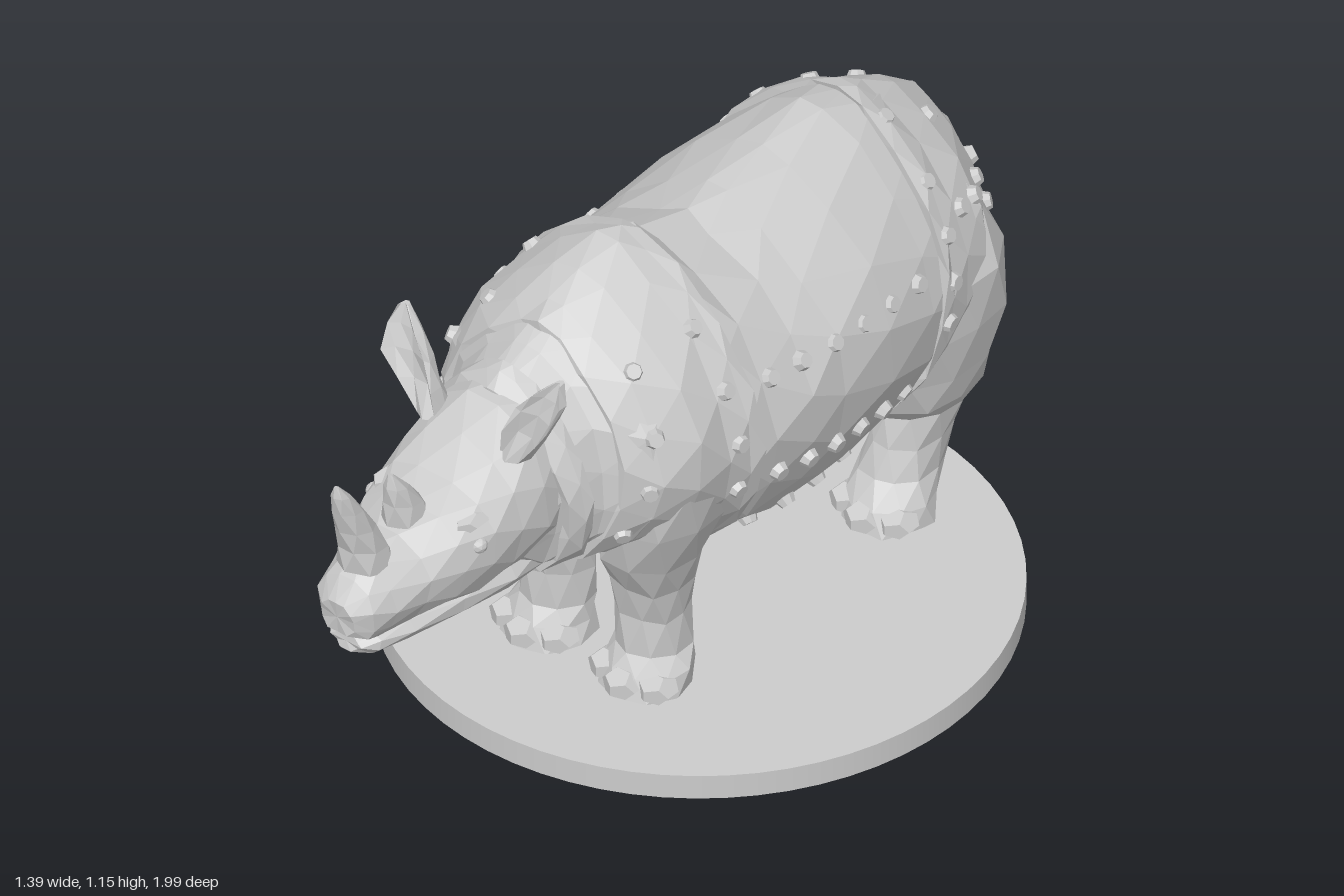
import * as THREE from 'three';

const V = (x, y, z) => new THREE.Vector3(x, y, z);
const { lerp, clamp } = THREE.MathUtils;
const material = new THREE.MeshStandardMaterial({ color: 0xcccccc, flatShading: true });

// Body cross-sections: z, top, bottom, half width, height of widest point
const BODY = [
  [-0.985, 0.82, 0.64, 0.06, 0.74], [-0.95, 0.905, 0.5, 0.14, 0.72], [-0.9, 0.97, 0.4, 0.21, 0.72],
  [-0.8, 1.04, 0.37, 0.295, 0.72], [-0.7, 1.09, 0.35, 0.322, 0.72], [-0.58, 1.118, 0.325, 0.338, 0.72],
  [-0.42, 1.1, 0.298, 0.358, 0.7], [-0.26, 1.08, 0.283, 0.37, 0.7], [-0.16, 1.065, 0.29, 0.37, 0.7],
  [-0.04, 1.085, 0.32, 0.358, 0.7], [0.02, 1.135, 0.355, 0.342, 0.71], [0.1, 1.148, 0.4, 0.335, 0.72],
  [0.19, 1.115, 0.44, 0.33, 0.74], [0.28, 1.065, 0.46, 0.295, 0.74], [0.36, 1.02, 0.465, 0.22, 0.73],
  [0.46, 0.975, 0.48, 0.178, 0.73], [0.54, 0.9, 0.53, 0.15, 0.72],
];

function sectionAt(z) {
  let i = 0;
  while (i < BODY.length - 2 && z > BODY[i + 1][0]) i++;
  const t = (z - BODY[i][0]) / (BODY[i + 1][0] - BODY[i][0]);
  return BODY[i].map((v, k) => lerp(v, BODY[i + 1][k], t));
}

// Point on an oval section, angle measured from the top; a peak above 1 narrows the upper half
function ovalPoint([z, top, bottom, w, mid], a, grow = 0, peak = 1) {
  const c = Math.cos(a), s = Math.sin(a), half = (c > 0 ? top - mid : mid - bottom) + grow;
  const across = c > 0 ? Math.sign(s) * Math.abs(s) ** peak : s;
  return V((w + grow) * across, mid + half * c, z);
}
const bodyPoint = (z, a, grow = 0) => ovalPoint(sectionAt(z), a, grow, 1.5);

// Each ring is turned half a step further, giving a faceted triangle net
const ring = (n, k, point) =>
  Array.from({ length: n }, (_, i) => point(((i + k / 2) / n) * Math.PI * 2));

// Small left-right symmetric irregularity for a hand-carved look
function roughen(p, amount) {
  const h = (s) => {
    const v = Math.sin(Math.abs(p.x) * 127.1 * s + p.y * 311.7 + p.z * 74.7 * s) * 4375.85;
    return (v - Math.floor(v) - 0.5) * 2 * amount;
  };
  const side = Math.abs(p.x) < 0.002 ? 0 : Math.sign(p.x);
  return V(p.x + side * h(1), p.y + h(1.7), p.z + h(2.3));
}

// Skin a list of rings, close both ends and make it face outwards
function loft(name, rings, rough = 0) {
  const pos = [], n = rings[0].length;
  const net = rings.map((r) => r.map((p) => (rough ? roughen(p, rough) : p)));
  const tri = (...ps) => ps.forEach((p) => pos.push(p.x, p.y, p.z));
  for (let k = 0; k < net.length - 1; k++) {
    for (let i = 0; i < n; i++) {
      const j = (i + 1) % n, a = net[k], b = net[k + 1];
      tri(a[i], a[j], b[i]);
      tri(b[i], a[j], b[j]);
    }
  }
  const cap = (r, flip) => {
    const c = r.reduce((s, p) => s.add(p), V(0, 0, 0)).divideScalar(n);
    r.forEach((p, i) => (flip ? tri(c, r[(i + 1) % n], p) : tri(c, p, r[(i + 1) % n])));
  };
  cap(net[0], true);
  cap(net[net.length - 1], false);
  let volume = 0;
  const at = (i) => V(pos[i], pos[i + 1], pos[i + 2]);
  for (let i = 0; i < pos.length; i += 9) volume += at(i).dot(at(i + 3).cross(at(i + 6)));
  if (volume < 0) {
    for (let i = 0; i < pos.length; i += 9)
      for (let c = 0; c < 3; c++) [pos[i + 3 + c], pos[i + 6 + c]] = [pos[i + 6 + c], pos[i + 3 + c]];
  }
  const geo = new THREE.BufferGeometry();
  geo.setAttribute('position', new THREE.Float32BufferAttribute(pos, 3));
  geo.computeVertexNormals();
  return part(name, geo);
}

function part(name, geo) {
  const mesh = new THREE.Mesh(geo, material);
  mesh.name = name;
  return mesh;
}

// Loft of upright ovals given as [z, top, bottom, half width, widest height]
const ovalLoft = (name, rows, n, rough) =>
  loft(name, rows.map((s, k) => ring(n, k, (a) => ovalPoint(s, a))), rough);

// Loft of level ovals given as [y, x, z, x radius, z radius], on either side
const levelLoft = (name, side, rows, n, rough) =>
  loft(name, rows.map(([y, x, z, rx, rz], k) =>
    ring(n, k, (a) => V(side * (x + rx * Math.sin(a)), y, z + rz * Math.cos(a)))), rough);

// Armour plate from rings of [z at the back line, z at the belly, thickness], its rims tucked in
function plate(name, bands) {
  const tucked = ([zTop, zLow]) => [zTop, zLow, -0.025];
  const rows = [tucked(bands[0]), ...bands, tucked(bands[bands.length - 1])];
  return loft(name, rows.map(([zTop, zLow, grow], k) =>
    ring(18, k, (a) => bodyPoint(lerp(zTop, zLow, (1 - Math.cos(a)) / 2), a, grow))), 0.006);
}

// Low stud seated on the hide at a given z and height
function stud(side, z, y, grow) {
  const s = sectionAt(z);
  const half = y > s[4] ? s[1] - s[4] : s[4] - s[2];
  const a = side * Math.acos(clamp((y - s[4]) / half, -1, 1));
  const at = (zz, aa) => bodyPoint(zz, aa, grow);
  const p = at(z, a);
  const normal = at(z, a + 0.02).sub(at(z, a - 0.02)).cross(at(z + 0.02, a).sub(at(z - 0.02, a))).normalize();
  if (normal.dot(V(p.x, p.y - s[4], 0)) < 0) normal.negate();
  const mesh = part('stud', new THREE.CylinderGeometry(0.017, 0.025, 0.022, 8));
  mesh.position.copy(p);
  mesh.quaternion.setFromUnitVectors(V(0, 1, 0), normal);
  return mesh;
}

// Curved horn from [z, y, radius along z, radius along x] stations
const horn = (name, rows) =>
  loft(name, rows.map(([z, y, rz, rx], k) =>
    ring(7, k, (a) => V(rx * Math.sin(a), y + rz * 0.25 * Math.cos(a), z + rz * Math.cos(a)))));

export function createModel() {
  const model = new THREE.Group();
  model.name = 'rhinoceros';

  const base = part('base', new THREE.CylinderGeometry(0.695, 0.695, 0.06, 64));
  base.material = new THREE.MeshStandardMaterial({ color: 0xcccccc });
  base.position.set(0, 0.03, -0.205);
  model.add(base);

  // Trunk and armour plates, thicker along their open edges
  model.add(loft('trunk', BODY.map((s, k) => ring(18, k, (a) => bodyPoint(s[0], a))), 0.009));
  model.add(plate('shoulderPlate', [
    [0.02, -0.01, 0.016], [0.05, 0.02, 0.016], [0.1, 0.09, 0.007], [0.19, 0.18, 0.008], [0.27, 0.28, 0.01], [0.32, 0.36, 0.012],
  ]));
  model.add(plate('rumpPlate', [
    [-0.965, -0.95, 0.01], [-0.91, -0.89, 0.01], [-0.82, -0.78, 0.01], [-0.74, -0.67, 0.008],
    [-0.69, -0.6, 0.012], [-0.66, -0.57, 0.012],
  ]));
  model.add(plate('neckFold', [[0.42, 0.37, 0.014], [0.45, 0.4, 0.018], [0.48, 0.43, 0.014]]));

  // Head
  model.add(ovalLoft('head', [
    [0.42, 0.97, 0.53, 0.165, 0.74], [0.5, 0.96, 0.53, 0.18, 0.75], [0.58, 0.9, 0.535, 0.18, 0.74],
    [0.66, 0.855, 0.545, 0.168, 0.73], [0.74, 0.82, 0.555, 0.145, 0.7], [0.82, 0.79, 0.56, 0.12, 0.68],
    [0.9, 0.78, 0.567, 0.098, 0.66], [0.955, 0.745, 0.58, 0.08, 0.65], [0.985, 0.69, 0.605, 0.045, 0.65],
  ], 12, 0.006));
  model.add(ovalLoft('lowerJaw', [
    [0.44, 0.66, 0.495, 0.135, 0.58], [0.56, 0.64, 0.505, 0.14, 0.58], [0.7, 0.62, 0.515, 0.118, 0.58],
    [0.84, 0.61, 0.525, 0.092, 0.575], [0.92, 0.6, 0.535, 0.07, 0.57], [0.955, 0.59, 0.55, 0.04, 0.57],
  ], 10, 0.004));
  model.add(horn('frontHorn', [
    [0.885, 0.74, 0.075, 0.06], [0.9, 0.8, 0.062, 0.05], [0.924, 0.86, 0.052, 0.04],
    [0.95, 0.92, 0.04, 0.03], [0.972, 0.97, 0.024, 0.02], [0.985, 1, 0.006, 0.006],
  ]));
  model.add(horn('rearHorn', [
    [0.75, 0.78, 0.07, 0.05], [0.768, 0.84, 0.052, 0.038], [0.79, 0.89, 0.032, 0.025], [0.808, 0.93, 0.006, 0.006],
  ]));

  // Tail lying against the rump
  model.add(levelLoft('tail', 1, [
    [0.88, 0, -0.945, 0.035, 0.022], [0.78, 0, -0.975, 0.035, 0.022], [0.64, 0, -0.97, 0.03, 0.022],
    [0.52, 0, -0.94, 0.034, 0.022], [0.44, 0, -0.905, 0.012, 0.01],
  ], 6));

  for (const side of [1, -1]) {
    const prefix = side > 0 ? 'left' : 'right';

    // Leaf-shaped ear, its front pushed back into a hollow
    const ear = [
      [0.88, 0.115, 0.525, 0.035, 0.045], [0.95, 0.145, 0.53, 0.05, 0.048], [1.01, 0.175, 0.525, 0.056, 0.045],
      [1.06, 0.2, 0.515, 0.042, 0.035], [1.105, 0.215, 0.505, 0.01, 0.015],
    ];
    model.add(loft(prefix + 'Ear', ear.map(([y, x, z, rx, rz], k) => ring(8, k, (a) => {
      const c = Math.cos(a);
      const depth = c > 0 && k > 0 ? rz * (1 - 0.9 * c) : rz * (c + (k > 0 ? 0.3 : 0));
      return V(side * (x + rx * Math.sin(a)), y, z + depth);
    }))));

    const eye = part(prefix + 'Eye', new THREE.IcosahedronGeometry(0.02, 1));
    eye.position.set(side * 0.145, 0.745, 0.69);
    const brow = part(prefix + 'Brow', new THREE.DodecahedronGeometry(0.035));
    brow.position.set(side * 0.115, 0.79, 0.675);
    brow.scale.set(0.9, 0.6, 1.5);
    model.add(eye, brow);

    // Legs
    model.add(levelLoft(prefix + 'FrontLeg', side, [
      [0.06, 0.138, 0.13, 0.105, 0.105], [0.11, 0.138, 0.12, 0.1, 0.095], [0.15, 0.132, 0.105, 0.085, 0.08],
      [0.24, 0.13, 0.105, 0.085, 0.08], [0.33, 0.135, 0.11, 0.095, 0.09], [0.42, 0.15, 0.125, 0.11, 0.125],
      [0.54, 0.185, 0.13, 0.128, 0.145], [0.68, 0.21, 0.14, 0.125, 0.14], [0.82, 0.185, 0.14, 0.09, 0.1],
    ], 9, 0.006));
    model.add(levelLoft(prefix + 'RearLeg', side, [
      [0.06, 0.155, -0.64, 0.105, 0.105], [0.11, 0.155, -0.65, 0.1, 0.1], [0.16, 0.15, -0.69, 0.082, 0.095],
      [0.24, 0.15, -0.73, 0.082, 0.105], [0.31, 0.155, -0.745, 0.095, 0.115], [0.36, 0.165, -0.74, 0.11, 0.155],
      [0.45, 0.175, -0.745, 0.13, 0.182], [0.57, 0.188, -0.745, 0.143, 0.19], [0.7, 0.19, -0.745, 0.14, 0.18],
      [0.83, 0.175, -0.74, 0.1, 0.13],
    ], 10, 0.007));

    // Three broad toes on each foot
    for (const [x, z] of [[0.138, 0.13], [0.155, -0.64]]) {
      for (const a of [-0.95, 0, 0.95]) {
        const toe = part('toe', new THREE.DodecahedronGeometry(0.048));
        toe.position.set(side * (x + 0.082 * Math.sin(a)), 0.088, z + 0.076 * Math.cos(a));
        toe.scale.set(1, 0.7, 1);
        model.add(toe);
      }
    }

    // Rows of studs along plate edges and across the flank
    const row = (count, z0, y0, z1, y1, grow) => {
      for (let i = 0; i < count; i++) {
        const t = i / (count - 1);
        model.add(stud(side, lerp(z0, z1, t), lerp(y0, y1, t), grow));
      }
    };
    row(6, -0.06, 0.84, -0.54, 0.81, 0);
    row(6, -0.06, 0.6, -0.52, 0.52, 0);
    row(5, -0.08, 0.41, -0.5, 0.39, 0);
    row(4, 0.08, 1.0, 0.06, 0.62, 0.01);
    row(4, 0.25, 0.97, 0.32, 0.6, 0.01);
    row(5, -0.69, 1.05, -0.63, 0.66, 0.01);
    row(4, -0.74, 0.87, -0.93, 0.83, 0.01);
    row(3, -0.84, 0.97, -0.91, 0.6, 0.01);
  }
  return model;
}
